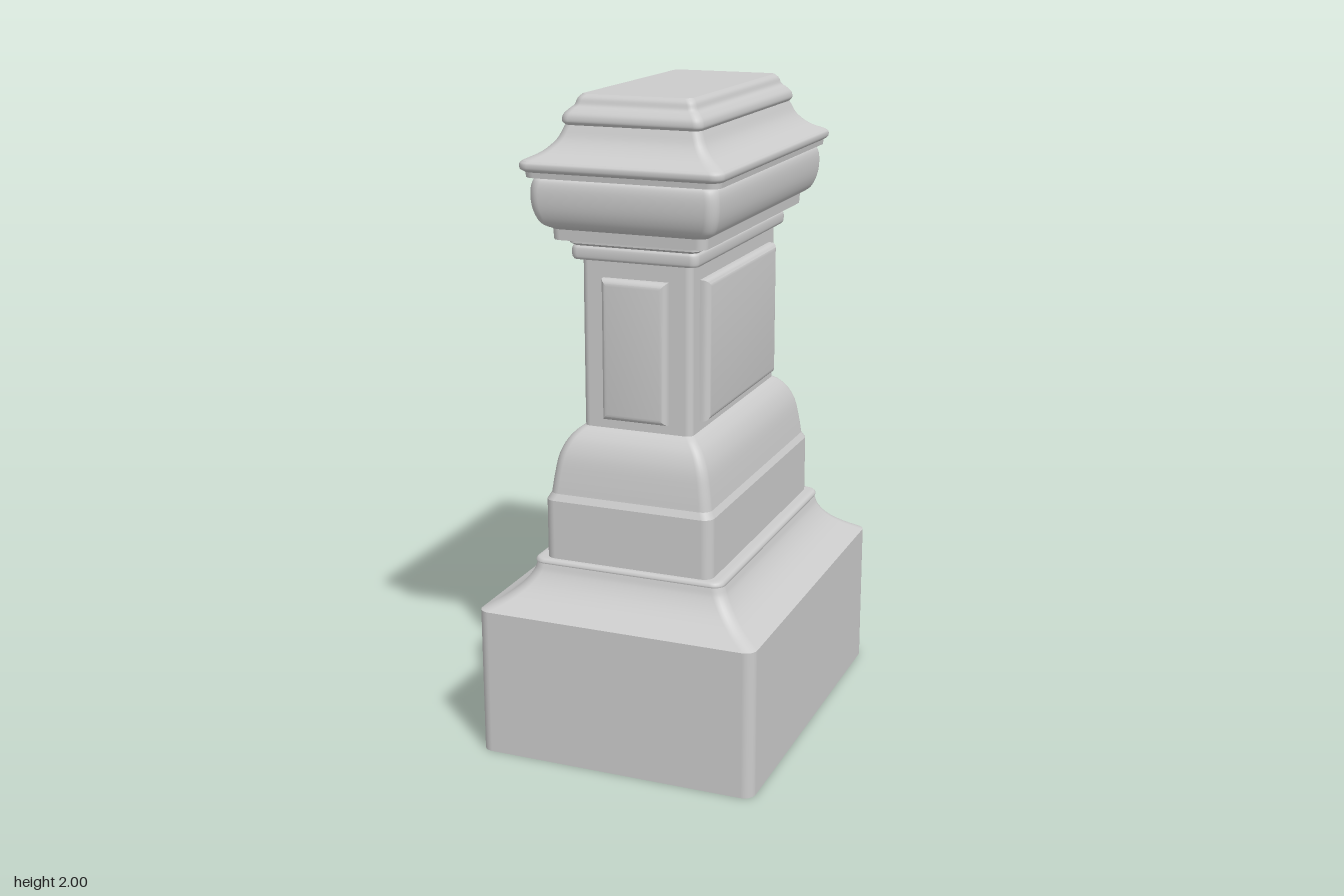
import * as THREE from 'three';
import { toCreasedNormals } from 'three/addons/utils/BufferGeometryUtils.js';

const ARC = 6; // segments per rounded corner

// Profile runs from bottom to top as [half width x, half depth z, height y].
// Each run is smooth within itself and meets the next at a crisp edge.
const plinthRuns = [
  [[0, 0.135, 0], [0.442, 0.575, 0]],
  [[0.442, 0.575, 0], [0.442, 0.575, 0.46]],
  [[0.442, 0.575, 0.46], [0.385, 0.53, 0.492], [0.34, 0.49, 0.53], [0.312, 0.467, 0.57], [0.303, 0.463, 0.597]],
  [[0.303, 0.463, 0.597], [0.304, 0.472, 0.605], [0.298, 0.468, 0.614], [0.267, 0.458, 0.617]],
];
const dieRuns = [
  [[0.267, 0.458, 0.617], [0.267, 0.458, 0.80]],
  [[0.267, 0.458, 0.80], [0.256, 0.447, 0.82]],
  [[0.256, 0.447, 0.82], [0.249, 0.441, 0.87], [0.236, 0.43, 0.935], [0.215, 0.411, 0.98], [0.19, 0.39, 1.008], [0.172, 0.37, 1.02]],
];
const shaftRuns = [
  [[0.172, 0.37, 1.02], [0.172, 0.37, 1.527]],
];
const capRuns = [
  [[0.172, 0.37, 1.527], [0.193, 0.391, 1.527]],
  [[0.193, 0.391, 1.527], [0.197, 0.395, 1.535], [0.197, 0.395, 1.56], [0.192, 0.39, 1.568]],
  [[0.192, 0.39, 1.568], [0.202, 0.4, 1.575]],
  [[0.202, 0.4, 1.575], [0.202, 0.4, 1.585]],
  [[0.202, 0.4, 1.585], [0.237, 0.435, 1.588]],
  [[0.237, 0.435, 1.588], [0.239, 0.437, 1.62]],
  [[0.239, 0.437, 1.62], [0.266, 0.463, 1.637], [0.28, 0.476, 1.665], [0.287, 0.484, 1.70], [0.287, 0.484, 1.74], [0.281, 0.478, 1.762], [0.272, 0.469, 1.77]],
  [[0.272, 0.469, 1.77], [0.296, 0.493, 1.772]],
  [[0.296, 0.493, 1.772], [0.298, 0.495, 1.788]],
  [[0.298, 0.495, 1.788], [0.309, 0.506, 1.797], [0.31, 0.507, 1.812], [0.303, 0.5, 1.82]],
  [[0.303, 0.5, 1.82], [0.26, 0.457, 1.842], [0.227, 0.424, 1.875], [0.208, 0.405, 1.915]],
  [[0.208, 0.405, 1.915], [0.215, 0.412, 1.925], [0.213, 0.41, 1.942], [0.2, 0.397, 1.958], [0.187, 0.384, 1.97], [0.18, 0.377, 1.988], [0.168, 0.365, 2]],
  [[0.168, 0.365, 2], [0, 0.197, 2]],
];

// Rounded-rectangle cross-section as positions with horizontal normals
function section(hx, hz) {
  const r = Math.min(0.035, hx * 0.12);
  const ring = [];
  const signs = [[1, 1], [-1, 1], [-1, -1], [1, -1]];
  signs.forEach(([sx, sz], q) => {
    for (let i = 0; i <= ARC; i++) {
      const t = (q + i / ARC) * Math.PI / 2;
      const nx = Math.cos(t), nz = Math.sin(t);
      ring.push({ x: sx * (hx - r) + r * nx, z: sz * (hz - r) + r * nz, nx, nz });
    }
  });
  ring.push(ring[0]);
  return ring;
}

// Lofts the moulding runs into one skin
function loft(runs) {
  const pos = [], nor = [], idx = [];
  for (const run of runs) {
    let pts = run.map(p => new THREE.Vector3(...p));
    if (pts.length > 2) pts = new THREE.CatmullRomCurve3(pts).getPoints((pts.length - 1) * 4);
    pts.forEach((p, i) => {
      const a = pts[Math.max(i - 1, 0)], b = pts[Math.min(i + 1, pts.length - 1)];
      const out = b.z - a.z, up = a.x - b.x, len = Math.hypot(out, up);
      const ring = section(p.x, p.y), n = ring.length, start = pos.length / 3;
      ring.forEach((v, j) => {
        pos.push(v.x, p.z, v.z);
        nor.push(v.nx * out / len, up / len, v.nz * out / len);
        if (i > 0 && j < n - 1) {
          const c = start + j, low = c - n;
          idx.push(low, c, low + 1, low + 1, c, c + 1);
        }
      });
    });
  }
  const g = new THREE.BufferGeometry();
  g.setAttribute('position', new THREE.Float32BufferAttribute(pos, 3));
  g.setAttribute('normal', new THREE.Float32BufferAttribute(nor, 3));
  g.setIndex(idx);
  return g;
}

// Raised panel with a softened border, facing +z
function panelGeometry(halfWidth, height) {
  const b = 0.02, w = halfWidth - b, h = height / 2 - b;
  const s = new THREE.Shape();
  s.moveTo(-w, -h).lineTo(w, -h).lineTo(w, h).lineTo(-w, h).closePath();
  const g = new THREE.ExtrudeGeometry(s, { depth: 0.02, bevelEnabled: true, bevelSize: b, bevelThickness: 0.02, bevelSegments: 4 });
  return toCreasedNormals(g, 0.5);
}

export function createModel() {
  const group = new THREE.Group();
  const material = new THREE.MeshStandardMaterial({ color: 0xcccccc });
  const add = (name, geometry) => {
    const mesh = new THREE.Mesh(geometry, material);
    mesh.name = name;
    group.add(mesh);
    return mesh;
  };

  add('plinth', loft(plinthRuns));
  add('die', loft(dieRuns));
  add('shaft', loft(shaftRuns));
  add('cap', loft(capRuns));

  // One raised panel on each face of the shaft
  const narrow = panelGeometry(0.102, 0.425), wide = panelGeometry(0.305, 0.425);
  ['frontPanel', 'leftPanel', 'backPanel', 'rightPanel'].forEach((name, i) => {
    const mesh = add(name, i % 2 ? wide : narrow);
    const angle = i * Math.PI / 2, d = (i % 2 ? 0.202 : 0.4) - 0.04;
    mesh.position.set(Math.sin(angle) * d, 1.2625, Math.cos(angle) * d);
    mesh.rotation.y = angle;
  });
  return group;
}
